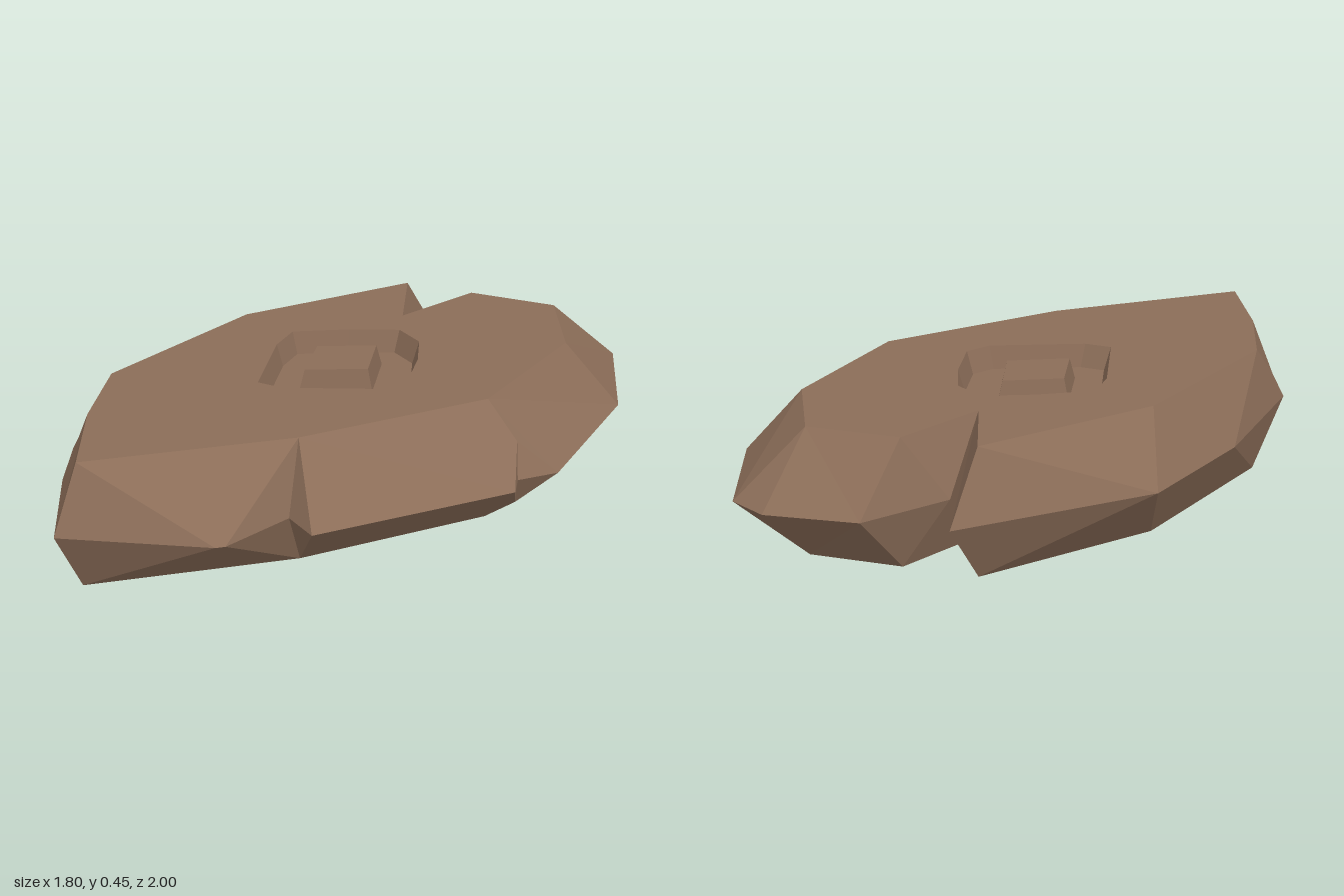
import * as THREE from 'three';

const TOP = 0.45, MID = 0.225, FLOOR = 0.37;

// Flat upper outline (x, z)
const crown = [
  [0.035, -0.84], [0.08, -0.52], [0.29, -0.795], [0.61, -0.74], [0.70, -0.40], [0.505, 0.13],
  [-0.05, 0.56], [-0.70, 0.89], [-0.78, 0.54], [-0.805, 0.21], [-0.485, -0.405],
];
// Widest outline (x, z) and the crown corner each point leans to
const girdle = [
  [0.10, -1.0, 0], [0.14, -0.75, 1], [0.39, -0.975, 2], [0.71, -0.95, 3], [0.83, -0.855, 3],
  [0.90, -0.40, 4], [0.76, 0.185, 5], [0.64, 0.36, 5], [0.05, 0.80, 6], [-0.05, 0.70, 6],
  [-0.20, 0.93, 6], [-0.23, 0.945, 6], [-0.75, 0.995, 7], [-0.86, 0.60, 8], [-0.905, 0.36, 9],
  [-0.75, -0.17, 9], [-0.52, -0.61, 10],
];
const chipIndex = 6; // the rim edge with a small chip in it

// Recess and central block outlines (x, z)
const recess = [
  [-0.28, -0.286], [-0.085, -0.35], [0.095, -0.386], [0.185, -0.296], [0.21, -0.14],
  [0.21, 0.06], [0.14, 0.13], [-0.196, 0.195], [-0.29, 0.17], [-0.307, -0.16],
];
const block = [[-0.18, -0.19], [0.058, -0.25], [0.074, -0.01], [-0.175, 0.053]];

const shrink = (pts, cx, cz, k) => pts.map(([x, z]) => [cx + (x - cx) * k, cz + (z - cz) * k]);
const at = ([x, z], y) => [x, y, z];

function fromTriangles(tris) {
  const g = new THREE.BufferGeometry();
  g.setAttribute('position', new THREE.Float32BufferAttribute(tris.flat(2), 3));
  g.computeVertexNormals();
  return g;
}

// Horizontal plate with an optional hole
function plate(outline, y, hole) {
  const toV = (pts) => pts.map(([x, z]) => new THREE.Vector2(x, -z));
  const shape = new THREE.Shape(toV(outline));
  if (hole) shape.holes.push(new THREE.Path(toV(hole)));
  return new THREE.ShapeGeometry(shape).rotateX(-Math.PI / 2).translate(0, y, 0).toNonIndexed();
}

// Sloped wall from a lower to an upper outline, facing outward
function wall(low, yLow, high, yHigh) {
  const tris = [];
  low.forEach((p, i) => {
    const j = (i + 1) % low.length;
    const a = at(p, yLow), b = at(low[j], yLow), c = at(high[j], yHigh), d = at(high[i], yHigh);
    tris.push([a, d, c], [a, c, b]);
  });
  return fromTriangles(tris);
}

// Reverse the corner order of every triangle
function flip(g) {
  const p = g.attributes.position;
  const b = new THREE.Vector3(), c = new THREE.Vector3();
  for (let i = 0; i < p.count; i += 3) {
    b.fromBufferAttribute(p, i + 1);
    c.fromBufferAttribute(p, i + 2);
    p.setXYZ(i + 1, c.x, c.y, c.z);
    p.setXYZ(i + 2, b.x, b.y, b.z);
  }
  g.computeVertexNormals();
  return g;
}

// Chiselled bevel between girdle and crown
function bevel() {
  const tris = [];
  girdle.forEach((m, i) => {
    const n = girdle[(i + 1) % girdle.length];
    const a = [m[0], MID, m[1]], b = [n[0], MID, n[1]];
    const c = at(crown[m[2]], TOP), d = at(crown[n[2]], TOP);
    if (i === chipIndex) {
      const tip = [0.62, 0.34, 0.21], inner = [0.635, MID, 0.27];
      tris.push([a, c, tip], [tip, c, b], [a, tip, inner], [inner, tip, b]);
      return;
    }
    if (m[2] !== n[2]) tris.push([a, c, d]);
    tris.push([a, d, b]);
  });
  return fromTriangles(tris);
}

export function createModel() {
  const stone = new THREE.MeshStandardMaterial({ color: 0x8b6d58, flatShading: true });
  stone.name = 'brownStone';
  const model = new THREE.Group();
  model.name = 'stoneSlab';

  const recessFloor = shrink(recess, -0.05, -0.1, 0.91);
  const blockTop = shrink(block, -0.055, -0.1, 0.86);

  const parts = () => ({
    Bevel: bevel(),
    Face: plate(crown, TOP, recess),
    RecessWall: flip(wall(recess, TOP, recessFloor, FLOOR).scale(1, 1, 1)),
    RecessFloor: plate(recessFloor, FLOOR, block),
    BlockSides: wall(block, FLOOR, blockTop, TOP),
    BlockTop: plate(blockTop, TOP),
  });

  // The underside mirrors the upper side
  for (const side of ['upper', 'lower']) {
    const half = new THREE.Group();
    half.name = side + 'Half';
    for (const [name, g] of Object.entries(parts())) {
      if (name === 'RecessWall') flip(g); // wall leads down, so its order is already inward
      if (side === 'lower') flip(g.scale(1, -1, 1).translate(0, TOP, 0));
      const mesh = new THREE.Mesh(g, stone);
      mesh.name = side + name;
      half.add(mesh);
    }
    model.add(half);
  }
  return model;
}
